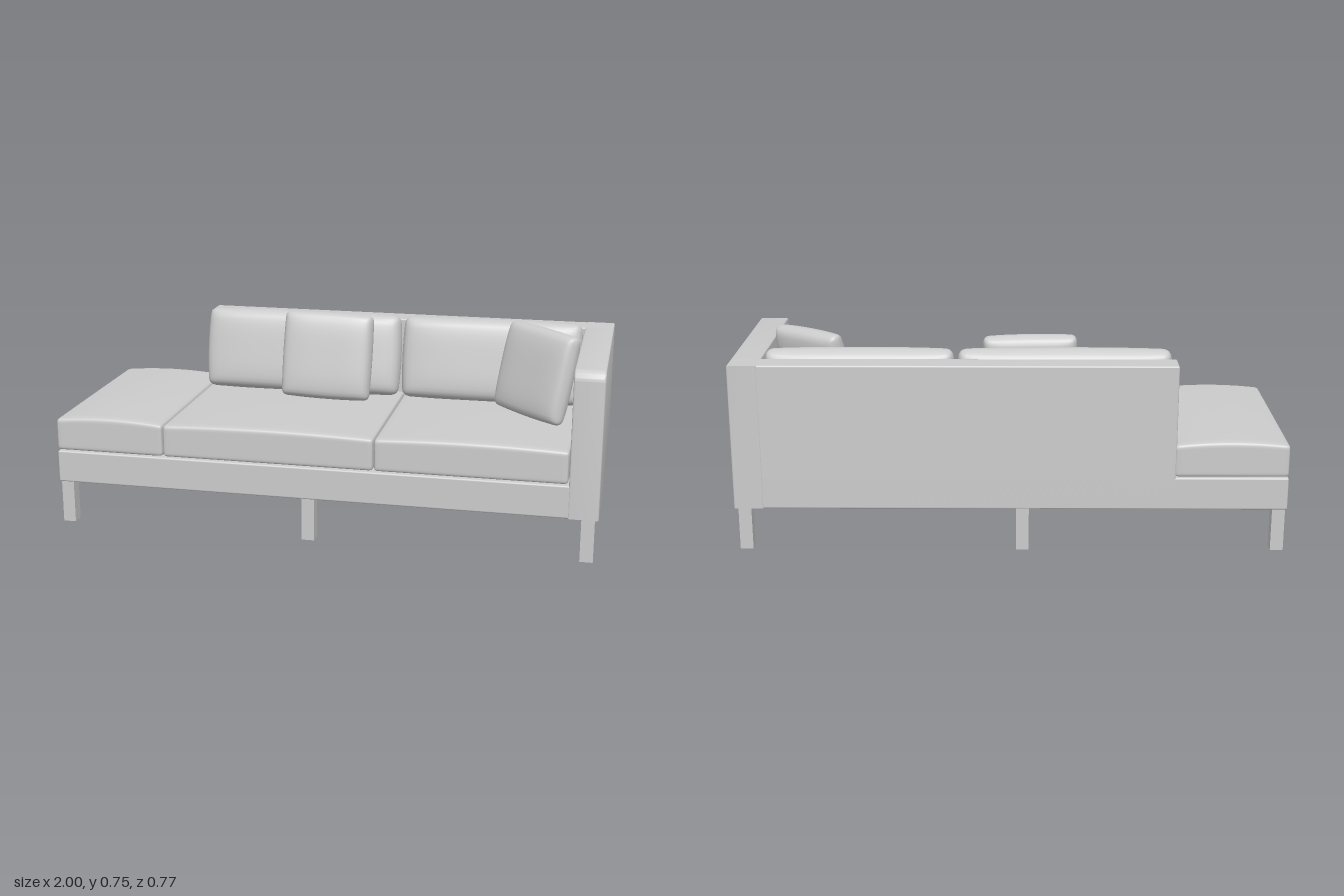
import * as THREE from 'three';
import { mergeVertices, toCreasedNormals } from 'three/addons/utils/BufferGeometryUtils.js';
import { RoundedBoxGeometry } from 'three/addons/geometries/RoundedBoxGeometry.js';

const fabric = new THREE.MeshStandardMaterial({ color: 0xcccccc });

// Box with its grid packed towards the edges, rounded by radius r, then reshaped by a rule
function softBox(w, h, d, r, reshape) {
  let geo = new THREE.BoxGeometry(2, 2, 2, 24, 20, 20);
  geo.deleteAttribute('uv');
  geo.deleteAttribute('normal');
  geo = mergeVertices(geo);
  const half = new THREE.Vector3(w / 2, h / 2, d / 2);
  const inner = half.clone().subScalar(r);
  const pos = geo.attributes.position;
  const p = new THREE.Vector3();
  const core = new THREE.Vector3();
  for (let i = 0; i < pos.count; i++) {
    p.fromBufferAttribute(pos, i);
    p.set(...p.toArray().map((c) => Math.sin(c * Math.PI / 2))).multiply(half);
    core.copy(p).clamp(inner.clone().negate(), inner);
    p.sub(core).setLength(r).add(core);
    reshape(p, p.x / half.x, p.y / half.y, p.z / half.z);
    pos.setXYZ(i, p.x, p.y, p.z);
  }
  geo.computeVertexNormals();
  return geo;
}

export function createModel() {
  const model = new THREE.Group();

  function add(name, geo, x, y, z) {
    const mesh = new THREE.Mesh(geo, fabric);
    mesh.name = name;
    mesh.position.set(x, y, z);
    model.add(mesh);
    return mesh;
  }

  // Block given by its limits
  function block(name, x0, x1, y0, y1, z0, z1) {
    add(name, new RoundedBoxGeometry(x1 - x0, y1 - y0, z1 - z0, 3, 0.006),
      (x0 + x1) / 2, (y0 + y1) / 2, (z0 + z1) / 2);
  }

  // Frame
  block('base', -1, 0.99, 0.16, 0.28, -0.38, 0.38);
  block('backrest', -0.595, 0.99, 0.16, 0.695, -0.38, -0.28);

  // Armrest, a side profile with a rounded upper front corner
  const b = 0.006;
  const side = new THREE.Shape();
  side.moveTo(-0.382 + b, 0.16 + b);
  side.lineTo(0.382 - b, 0.16 + b);
  side.lineTo(0.382 - b, 0.655);
  side.absarc(0.342, 0.655, 0.04 - b, 0, Math.PI / 2, false);
  side.lineTo(-0.382 + b, 0.695 - b);
  side.closePath();
  const arm = new THREE.ExtrudeGeometry(side, {
    depth: 0.108 - 2 * b, bevelThickness: b, bevelSize: b, bevelSegments: 3, curveSegments: 10,
  });
  arm.rotateY(-Math.PI / 2);
  add('armrest', toCreasedNormals(arm, 0.6), 1 - b, 0, 0);

  // Legs
  for (const x of [-0.97, -0.043, 0.963]) {
    for (const z of [-0.348, 0.348]) {
      add('leg', new THREE.BoxGeometry(0.047, 0.165, 0.047), x, 0.0825, z);
    }
  }

  // Seat cushions with a crowned top
  function seat(name, x0, x1, z0, z1, crown) {
    const geo = softBox(x1 - x0, 0.12, z1 - z0, 0.014, (p, u, v, w) => {
      p.y += crown * (1 - u * u) * (1 - 0.35 * w * w) * Math.max(0, v);
    });
    add(name, geo, (x0 + x1) / 2, 0.344, (z0 + z1) / 2);
  }
  seat('endSeatCushion', -1, -0.588, -0.384, 0.382, 0.019);
  seat('middleSeatCushion', -0.586, 0.198, -0.28, 0.382, 0.014);
  seat('sideSeatCushion', 0.201, 0.889, -0.28, 0.382, 0.014);

  // Upright cushions: thin rim, full middle, gently bowed outline
  function upright(name, [w, h, rim, full], position, [tilt, yaw, roll]) {
    const geo = softBox(w, h, rim, rim * 0.48, (p, u, v) => {
      const puff = Math.sqrt(Math.max(0, (1 - u ** 4) * (1 - v ** 4)));
      p.z *= 1 + (full / rim - 1) * puff;
      p.x *= 1 - 0.02 * v * v;
      p.y *= 1 - 0.03 * u * u;
    });
    add(name, geo, ...position).rotation.set(tilt, yaw, roll, 'YXZ');
  }
  upright('backCushion', [0.78, 0.32, 0.06, 0.125], [-0.195, 0.565, -0.208], [-0.2, 0, 0]);
  upright('backCushion', [0.69, 0.32, 0.06, 0.125], [0.545, 0.565, -0.208], [-0.2, 0, 0]);
  upright('throwPillow', [0.35, 0.335, 0.045, 0.1], [-0.073, 0.58, -0.093], [-0.2, 0, -0.02]);
  upright('throwPillow', [0.335, 0.335, 0.04, 0.1], [0.735, 0.58, -0.01], [-0.22, -0.7, -0.03]);

  return model;
}
